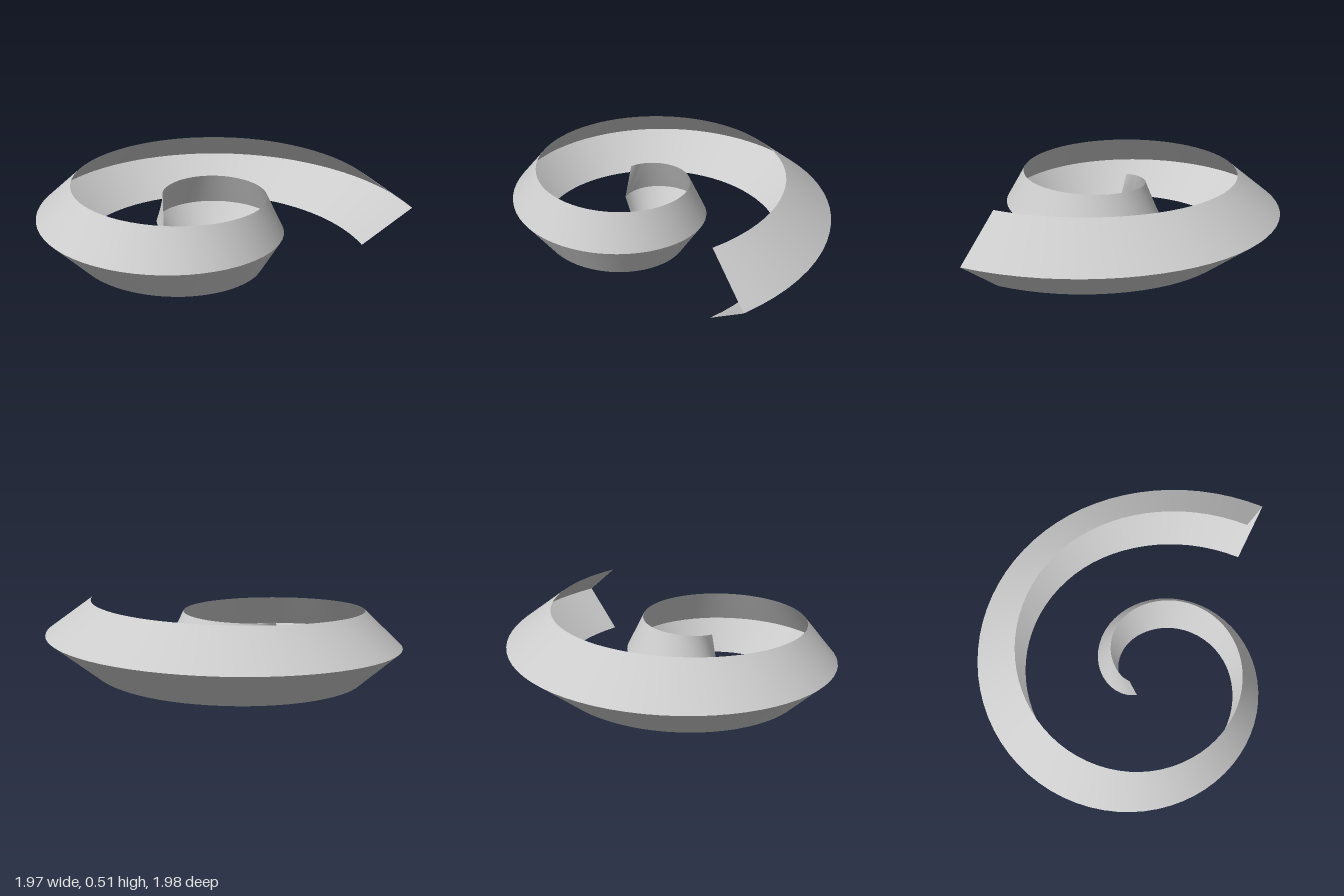
import * as THREE from 'three';

const START = -2.435, END = 6.2832 + 0.868; // sweep angle of the spiral
const SEGMENTS = 96;
const GROWTH = 0.1155;
const CENTRE = { x: -0.183, z: -0.005 };

// How far the top and bottom edges sit inside the ridge along the spiral
const knots = [START, -1.571, 0, 1.571, 3.142, 4.712, 6.283, END];
const insets = [
  0.03, 0.055, 0.075, 0.105, 0.10, 0.125, 0.105, 0.115,
  0.17, 0.18, 0.245, 0.245, 0.27, 0.27, 0.282, 0.282,
];
const insetAt = new THREE.CubicInterpolant(knots, insets, 2, new Float32Array(2));

// V-shaped cross-section: top edge, outer ridge, bottom edge
function section(a) {
  const late = Math.max(0, a - 6.2832) / 0.868;
  const r = 0.25 + GROWTH * (a + Math.PI / 2) + 0.046 * late * late;
  const n = a - Math.atan(GROWTH / r); // outward direction across the band
  const [topInset, bottomInset] = insetAt.evaluate(a);
  const lean = 0.035 * Math.max(0, 1 - (a - START) / 4);
  const point = (inset, y, along) => [
    CENTRE.x + r * Math.cos(a) - inset * Math.cos(n) - along * Math.sin(n),
    y,
    CENTRE.z + r * Math.sin(a) - inset * Math.sin(n) + along * Math.cos(n),
  ];
  return [
    point(topInset, 0.42 + 0.013 * a, lean),
    point(0, 0.215 + 0.0135 * a, 0),
    point(bottomInset, 0.0215 + 0.0088 * a, 0),
  ];
}

// Smooth strip between two neighbouring points of the cross-section
function strip(name, upper, material) {
  const positions = [], index = [];
  for (let i = 0; i <= SEGMENTS; i++) {
    const a = START + (END - START) * Math.pow(i / SEGMENTS, 0.8);
    const s = section(a);
    positions.push(...s[upper], ...s[upper + 1]);
    if (i < SEGMENTS) {
      const k = i * 2;
      index.push(k, k + 2, k + 1, k + 1, k + 2, k + 3);
    }
  }
  const geometry = new THREE.BufferGeometry();
  geometry.setAttribute('position', new THREE.Float32BufferAttribute(positions, 3));
  geometry.setIndex(index);
  geometry.computeVertexNormals();
  const mesh = new THREE.Mesh(geometry, material);
  mesh.name = name;
  return mesh;
}

export function createModel() {
  const group = new THREE.Group();
  group.name = 'spiralRibbon';
  const material = new THREE.MeshStandardMaterial({ color: 0xcccccc, side: THREE.DoubleSide });
  // The two sloping faces meet in a sharp outer ridge
  group.add(strip('upperBand', 0, material), strip('lowerBand', 1, material));
  return group;
}
